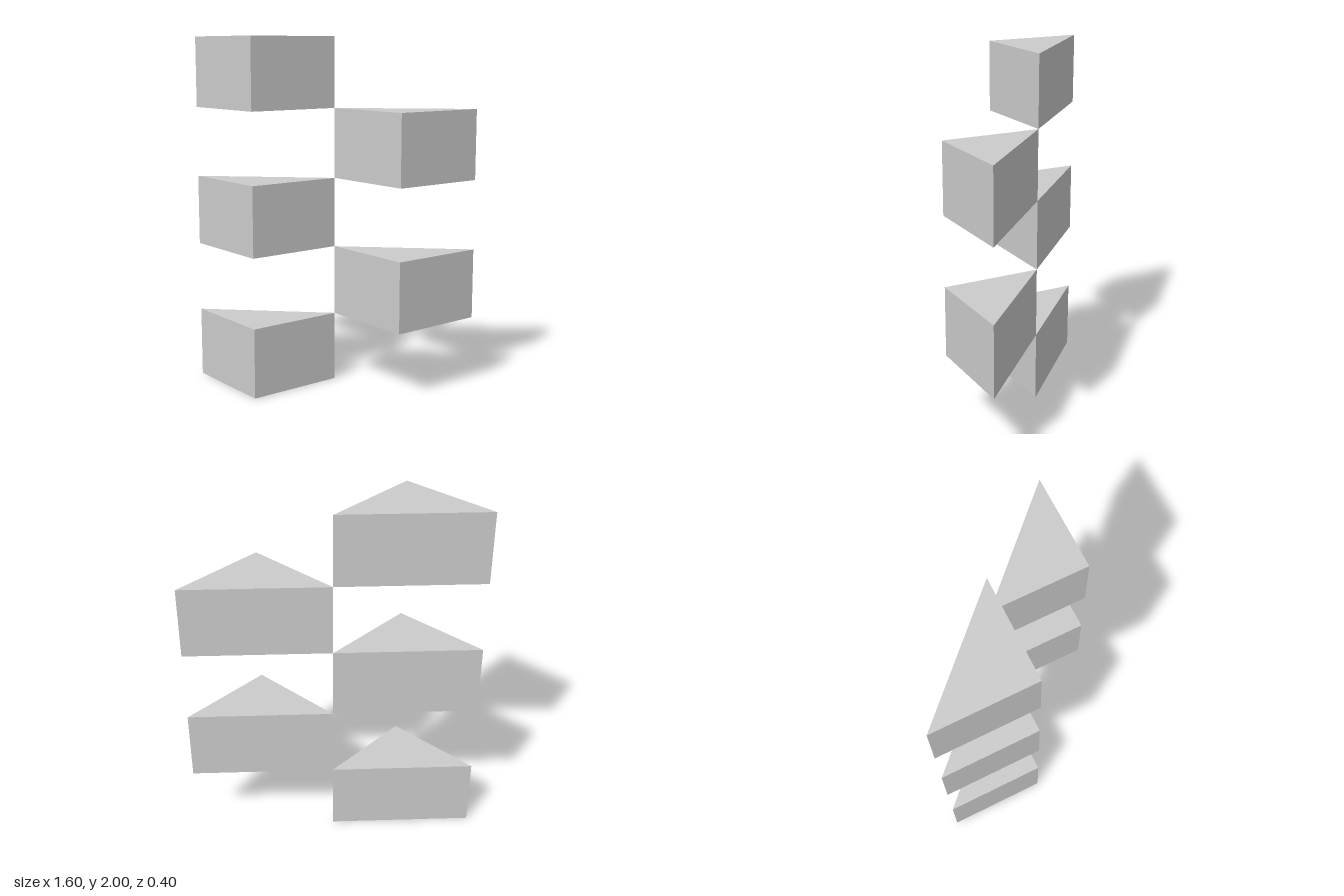
import * as THREE from 'three';

const SIZE = 0.4; // half width, depth and height of each block

export function createModel() {
  const group = new THREE.Group();
  group.name = 'staggeredWedges';
  const material = new THREE.MeshStandardMaterial({ color: 0xcccccc, flatShading: true });

  // Triangular prism: flat back, pointed front, base at y = 0
  const triangle = new THREE.Shape([
    new THREE.Vector2(-SIZE, SIZE / 2),
    new THREE.Vector2(0, -SIZE / 2),
    new THREE.Vector2(SIZE, SIZE / 2),
  ]);
  const wedge = new THREE.ExtrudeGeometry(triangle, { depth: SIZE, bevelEnabled: false });
  wedge.rotateX(-Math.PI / 2);

  // Five tiers alternating between the right and left columns
  for (let tier = 0; tier < 5; tier++) {
    const onRight = tier % 2 === 0;
    const mesh = new THREE.Mesh(wedge, material);
    mesh.name = `${onRight ? 'right' : 'left'}Wedge${tier + 1}`;
    mesh.position.set(onRight ? -SIZE : SIZE, tier * SIZE, 0);
    group.add(mesh);
  }
  return group;
}
